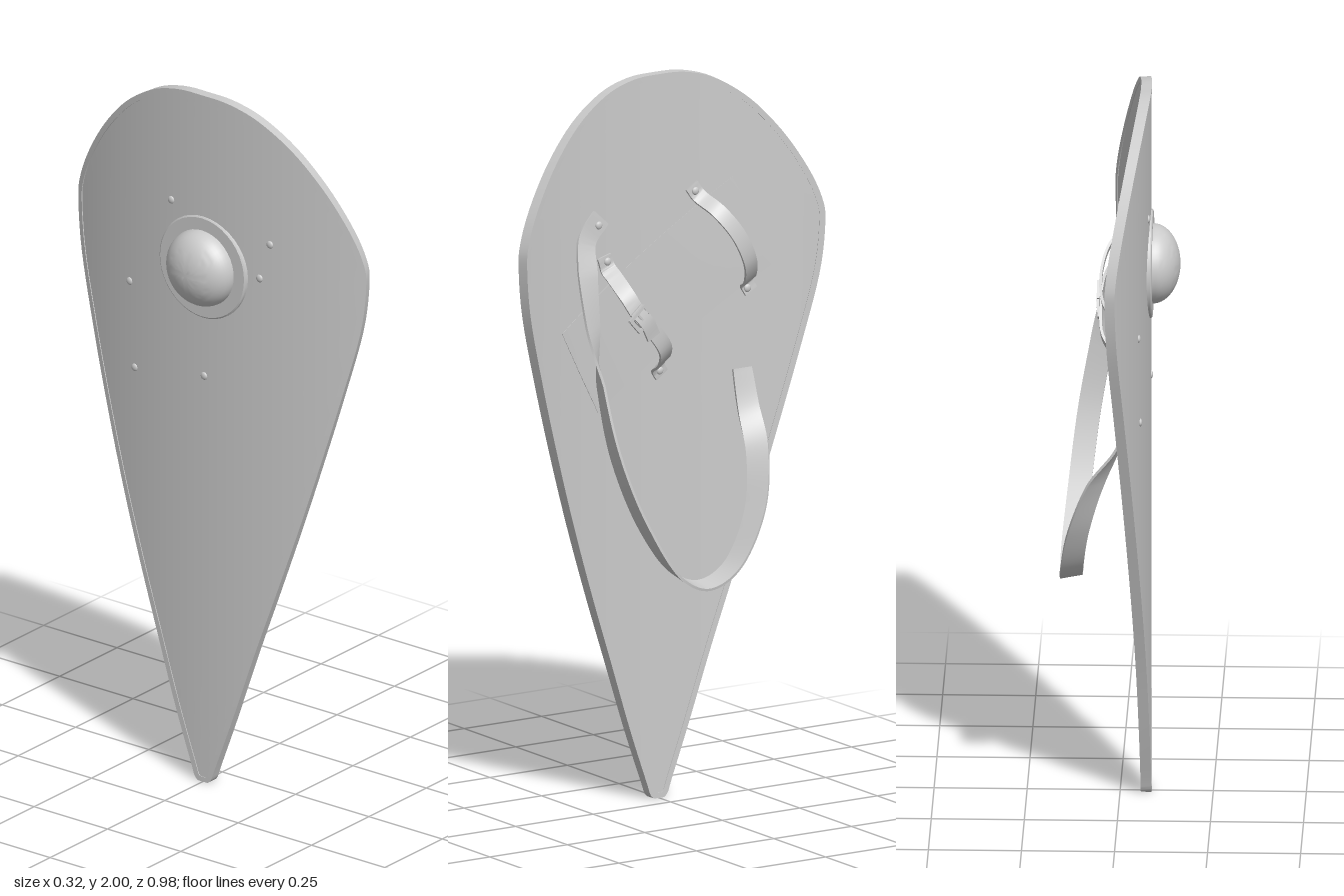
import * as THREE from 'three';
import { toCreasedNormals } from 'three/addons/utils/BufferGeometryUtils.js';

const grey = new THREE.MeshStandardMaterial({ color: 0xcccccc, side: THREE.DoubleSide });
const V = (x, y, z) => new THREE.Vector3(x, y, z);

// The board is bent round an upright axis; d is the height above its inner (+x) face.
const AXIS = 1.372, OUTER = 1.455, INNER = 1.43, THICK = OUTER - INNER;
const onBoard = (z, y, d = 0) => {
  const a = Math.asin(z / OUTER), r = INNER - d;
  return V(AXIS - r * Math.cos(a), y, r * Math.sin(a));
};

// Skin a list of equal-length cross-sections, wound counterclockwise about the path.
function loft(sections, closed = false) {
  const n = sections[0].length, m = sections.length, index = [];
  for (let i = 0; i < (closed ? m : m - 1); i++) {
    for (let j = 0; j < n; j++) {
      const k = (j + 1) % n, next = ((i + 1) % m) * n;
      const a = i * n + j, b = i * n + k, c = next + k, d = next + j;
      index.push(a, b, c, a, c, d);
    }
  }
  if (!closed) {
    const e = (m - 1) * n;
    for (let j = 1; j < n - 1; j++) index.push(0, j + 1, j, e, e + j, e + j + 1);
  }
  const g = new THREE.BufferGeometry().setFromPoints(sections.flat());
  g.setIndex(index);
  return toCreasedNormals(g, 0.6);
}

function add(parent, name, geometry) {
  const mesh = new THREE.Mesh(geometry, grey);
  mesh.name = name;
  parent.add(mesh);
  return mesh;
}

// Leather strap through rows of [x, y, z, wx, wy, wz], w being the way its width points.
function ribbon(rows, width, steps = 48, thick = 0.007) {
  const path = new THREE.CatmullRomCurve3(rows.map(r => V(r[0], r[1], r[2])));
  const dirs = rows.map(r => V(r[3], r[4], r[5]).normalize());
  const sections = [];
  for (let i = 0; i <= steps; i++) {
    const t = i / steps, f = t * (rows.length - 1);
    const k = Math.min(Math.floor(f), rows.length - 2);
    const p = path.getPoint(t), T = path.getTangent(t);
    const w = dirs[k].clone().lerp(dirs[k + 1], f - k);
    w.addScaledVector(T, -w.dot(T)).normalize();
    const h = T.clone().cross(w).multiplyScalar(thick / 2);
    w.multiplyScalar(width / 2);
    sections.push([p.clone().add(w).add(h), p.clone().sub(w).add(h),
      p.clone().sub(w).sub(h), p.clone().add(w).sub(h)]);
  }
  return loft(sections);
}

export function createModel() {
  const model = new THREE.Group();
  model.name = 'kiteShield';

  // Half outline as (half width, height), top to bottom
  const half = new THREE.SplineCurve([
    [0, 2], [0.09, 1.993], [0.18, 1.965], [0.28, 1.9], [0.37, 1.805], [0.44, 1.7], [0.48, 1.61],
    [0.488, 1.54], [0.472, 1.4], [0.42, 1.2], [0.362, 1], [0.3, 0.8], [0.233, 0.6],
    [0.163, 0.4], [0.095, 0.2], [0.04, 0.05], [0.026, 0.012], [0.012, 0],
  ].map(p => new THREE.Vector2(...p))).getPoints(85);

  // Board: one closed loop per height, inner face then outer face
  const cols = 24;
  const rows = half.slice().reverse().map(({ x: w, y }) => {
    const zs = Array.from({ length: cols + 1 }, (_, i) => w * (1 - 2 * i / cols));
    return [...zs.map(z => onBoard(z, y)), ...zs.reverse().map(z => onBoard(z, y, -THICK))];
  });
  add(model, 'board', loft(rows));

  // Edge binding round the whole outline
  const loop = [...half, ...half.slice(1).reverse().map(p => new THREE.Vector2(-p.x, p.y))];
  const rim = loop.map((p, i) => {
    const a = loop[(i + loop.length - 1) % loop.length], b = loop[(i + 1) % loop.length];
    const n = new THREE.Vector2(a.y - b.y, b.x - a.x).normalize();
    const at = (s, d) => onBoard(p.x + n.x * s, Math.max(0, Math.min(2, p.y + n.y * s)), d);
    return [at(0.002, -THICK - 0.002), at(-0.014, -THICK - 0.002), at(-0.014, 0.002), at(0.002, 0.002)];
  });
  add(model, 'edgeBinding', loft(rim, true));

  // Domed boss with a flat flange on the outer face
  const profile = [[0.147, -0.012], [0.147, 0.003], [0.143, 0.006], [0.108, 0.006]];
  for (let i = 1; i <= 14; i++) {
    const a = i / 14 * Math.PI / 2;
    profile.push([0.108 * Math.cos(a), 0.006 + 0.074 * Math.sin(a)]);
  }
  const bossShape = new THREE.LatheGeometry(profile.map(p => new THREE.Vector2(...p)), 40);
  const boss = add(model, 'boss', toCreasedNormals(bossShape, 0.6));
  boss.rotation.z = Math.PI / 2;
  boss.position.set(-0.082, 1.5, 0);

  // Slanted arm pad lying almost flush with the inner face
  const padRows = [];
  for (let i = 0; i <= 20; i++) {
    const s = i / 20, z = 0.345 - 0.575 * s, y = 1.335 + 0.355 * s;
    const p = (k, d) => onBoard(z - 0.135 * k, y - 0.24 * k, d);
    padRows.push([p(0, -0.004), p(0, 0.001), p(0.5, 0.001), p(1, 0.001), p(1, -0.004), p(0.5, -0.004)]);
  }
  add(model, 'armPad', loft(padRows));

  // Long carrying strap, twisting as it hangs
  add(model, 'carryingStrap', ribbon([
    [-0.038, 1.635, 0.2, 0, 0.67, 0.74], [-0.03, 1.58, 0.25, 0, 0.6, 0.78],
    [0, 1.5, 0.268, 0, 0.1, 1], [0.03, 1.35, 0.27, 0.4, 0, 0.9],
    [0.055, 1.2, 0.262, 1, 0.2, 0.3], [0.09, 1, 0.235, 1, 0.1, 0.1],
    [0.115, 0.8, 0.16, 1, 0, 0], [0.13, 0.66, 0.065, 1, -0.2, 0],
    [0.13, 0.622, -0.02, 1, -0.2, 0], [0.128, 0.66, -0.11, 1, -0.15, -0.1],
    [0.108, 0.8, -0.2, 0.9, 0, -0.4], [0.06, 0.95, -0.24, 0.6, 0.3, -0.7],
    [0, 1.06, -0.25, 0.2, 0, -1], [-0.03, 1.16, -0.25, 0, -0.2, -1],
  ], 0.062, 110));

  // Hand grip
  const across = [0, -0.5, 0.86];
  add(model, 'handGrip', ribbon([
    [-0.049, 1.68, -0.1], [-0.043, 1.65, -0.12], [0.015, 1.615, -0.145], [0.043, 1.55, -0.19],
    [0.04, 1.47, -0.23], [0, 1.41, -0.255], [-0.027, 1.395, -0.262], [-0.027, 1.37, -0.277],
  ].map(p => [...p, ...across]), 0.042));

  // Forearm strap with its loose end
  add(model, 'forearmStrap', ribbon([
    [-0.052, 1.17, -0.005], [-0.046, 1.195, 0.012], [0.01, 1.225, 0.028], [0.048, 1.27, 0.05],
    [0.055, 1.335, 0.1], [0.052, 1.38, 0.14], [0.035, 1.425, 0.162], [-0.015, 1.47, 0.172],
    [-0.038, 1.49, 0.177], [-0.041, 1.525, 0.188],
  ].map(p => [...p, 0, 0.6, -0.8]), 0.044));
  add(model, 'looseStrapEnd', ribbon([
    [0.055, 1.39, 0.15], [0.064, 1.355, 0.12], [0.06, 1.31, 0.095],
  ].map(p => [...p, 0, 0.6, -0.8]), 0.042, 10));

  // Buckle: rectangular frame and prong, set along the forearm strap
  const buckle = new THREE.Group();
  buckle.name = 'buckle';
  const bar = (name, y, z, h, w) =>
    add(buckle, name, new THREE.BoxGeometry(0.008, h, w)).position.set(0, y, z);
  for (const s of [-1, 1]) {
    bar('buckleCrossBar', s * 0.022, 0, 0.008, 0.062);
    bar('buckleSideBar', 0, s * 0.028, 0.046, 0.008);
  }
  bar('buckleProng', 0, 0, 0.05, 0.006);
  buckle.position.set(0.062, 1.365, 0.135);
  buckle.rotation.x = 0.72;
  model.add(buckle);

  // Rivets through the strap ends, headed on both faces
  const ends = [[0.215, 1.615], [-0.25, 1.135], [-0.112, 1.665], [-0.27, 1.38], [0.003, 1.183], [0.183, 1.51]];
  for (const [z, y] of ends) {
    for (const d of [0.01, -THICK]) {
      const rivet = add(model, 'rivet', new THREE.SphereGeometry(0.011, 12, 8));
      rivet.scale.x = 0.5;
      rivet.position.copy(onBoard(z, y, d));
    }
  }
  return model;
}
